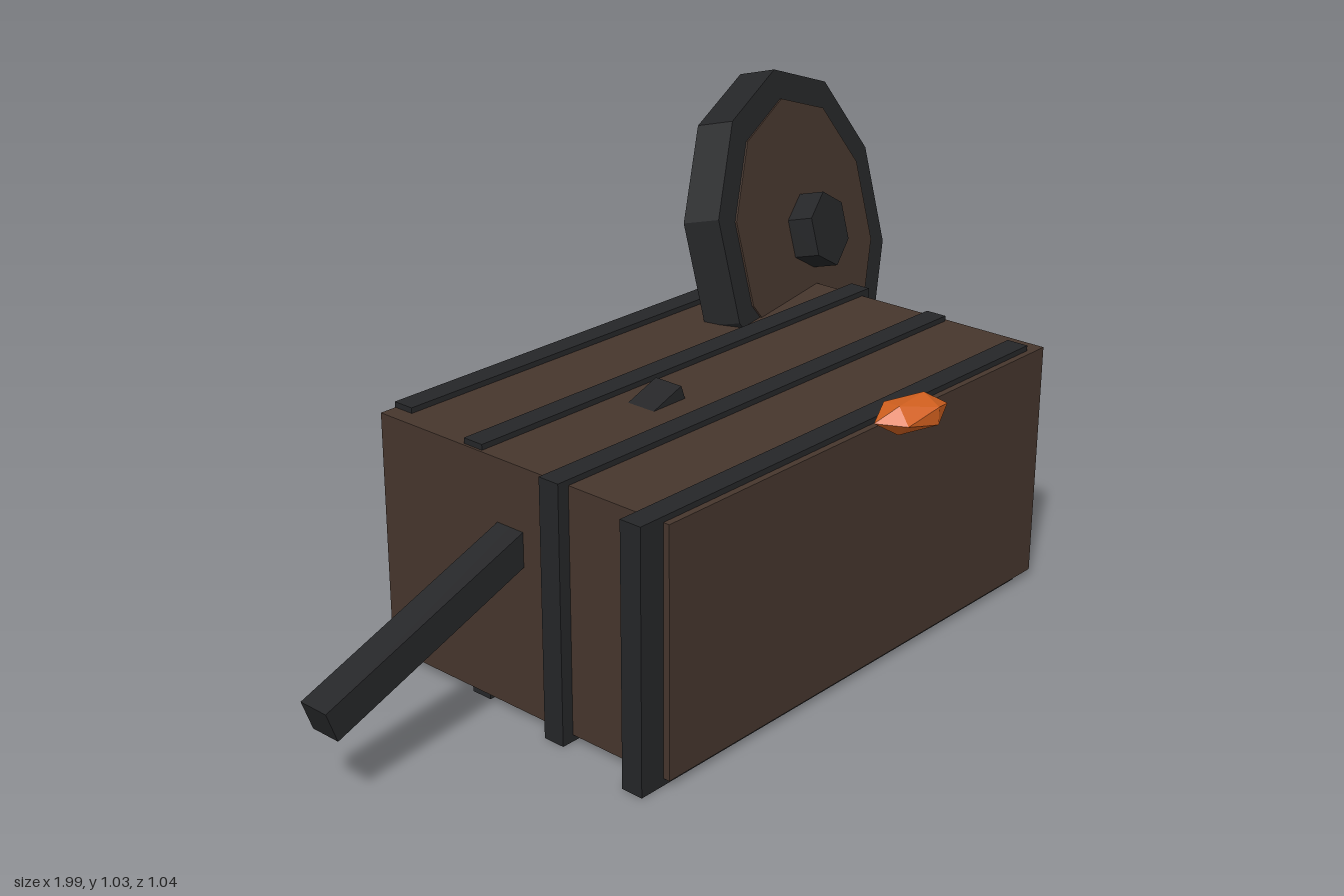
import * as THREE from 'three';

export function createModel() {
  const model = new THREE.Group();
  const mat = (name, color) => {
    const m = new THREE.MeshStandardMaterial({ color, flatShading: true });
    m.name = name;
    return m;
  };
  const wood = mat('brown wood', 0x46362d);
  const iron = mat('dark iron', 0x252628);
  const ember = mat('orange', 0xd2601f);
  const add = (parent, name, geometry, material, x = 0, y = 0, z = 0) => {
    const mesh = new THREE.Mesh(geometry, material);
    mesh.name = name;
    mesh.position.set(x, y, z);
    parent.add(mesh);
    return mesh;
  };
  const yaw = 0.138;

  // Chest body
  add(model, 'chest', new THREE.BoxGeometry(1.196, 0.53, 0.776), wood, 0.0925, 0.28, 0.0525).rotation.y = yaw;

  // Iron bands running lengthwise around the chest
  for (let i = 0; i < 4; i++) {
    add(model, 'band', new THREE.BoxGeometry(1.215, 0.557, 0.05), iron, 0.09, 0.2785, -0.315 + i * 0.24).rotation.y = yaw;
  }

  // Slanted handle, its upper end poking through the lid
  const handle = add(model, 'handle', new THREE.BoxGeometry(1.013, 0.07, 0.07), iron, -0.514, 0.3675, 0.113);
  handle.rotation.set(0, yaw, 0.353, 'YZX');

  // Tilted wheel: local y is the axle, local z points to the top corner
  const wheel = new THREE.Group();
  wheel.name = 'wheel';
  const axle = new THREE.Vector3(0.324, 0.245, 0.913).normalize();
  const side = new THREE.Vector3().crossVectors(axle, new THREE.Vector3(-0.025, 0.365, -0.09)).normalize();
  const up = new THREE.Vector3().crossVectors(side, axle);
  wheel.quaternion.setFromRotationMatrix(new THREE.Matrix4().makeBasis(side, axle, up));
  wheel.position.set(0.645, 0.665, -0.295);
  model.add(wheel);
  add(wheel, 'wheelRim', new THREE.CylinderGeometry(0.378, 0.378, 0.09, 10), iron, 0, -0.045, 0);
  add(wheel, 'wheelFace', new THREE.CylinderGeometry(0.31, 0.31, 0.008, 10), wood);
  add(wheel, 'hub', new THREE.CylinderGeometry(0.087, 0.087, 0.065, 6), iron, 0, 0.0325, 0);

  // Bare wood patch on the back of the wheel; side runs opposite to the model's +x
  const patch = new THREE.Shape([[-0.1, 0.07], [0.07, 0.1], [0.09, -0.06], [0.03, -0.07], [-0.09, 0.02]]
    .map(([x, y]) => new THREE.Vector2(x, y)));
  const patchGeometry = new THREE.ExtrudeGeometry(patch, { depth: 0.004, bevelEnabled: false });
  patchGeometry.rotateX(Math.PI / 2);
  add(wheel, 'backPatch', patchGeometry, wood, side.x > 0 ? -0.16 : 0.16, -0.089, 0.06);

  // Faceted orange lump resting on the front edge
  const lump = add(model, 'lump', new THREE.IcosahedronGeometry(1, 0).rotateY(0.4), ember, 0.215, 0.568, 0.47);
  lump.scale.set(0.095, 0.036, 0.058);

  return model;
}
